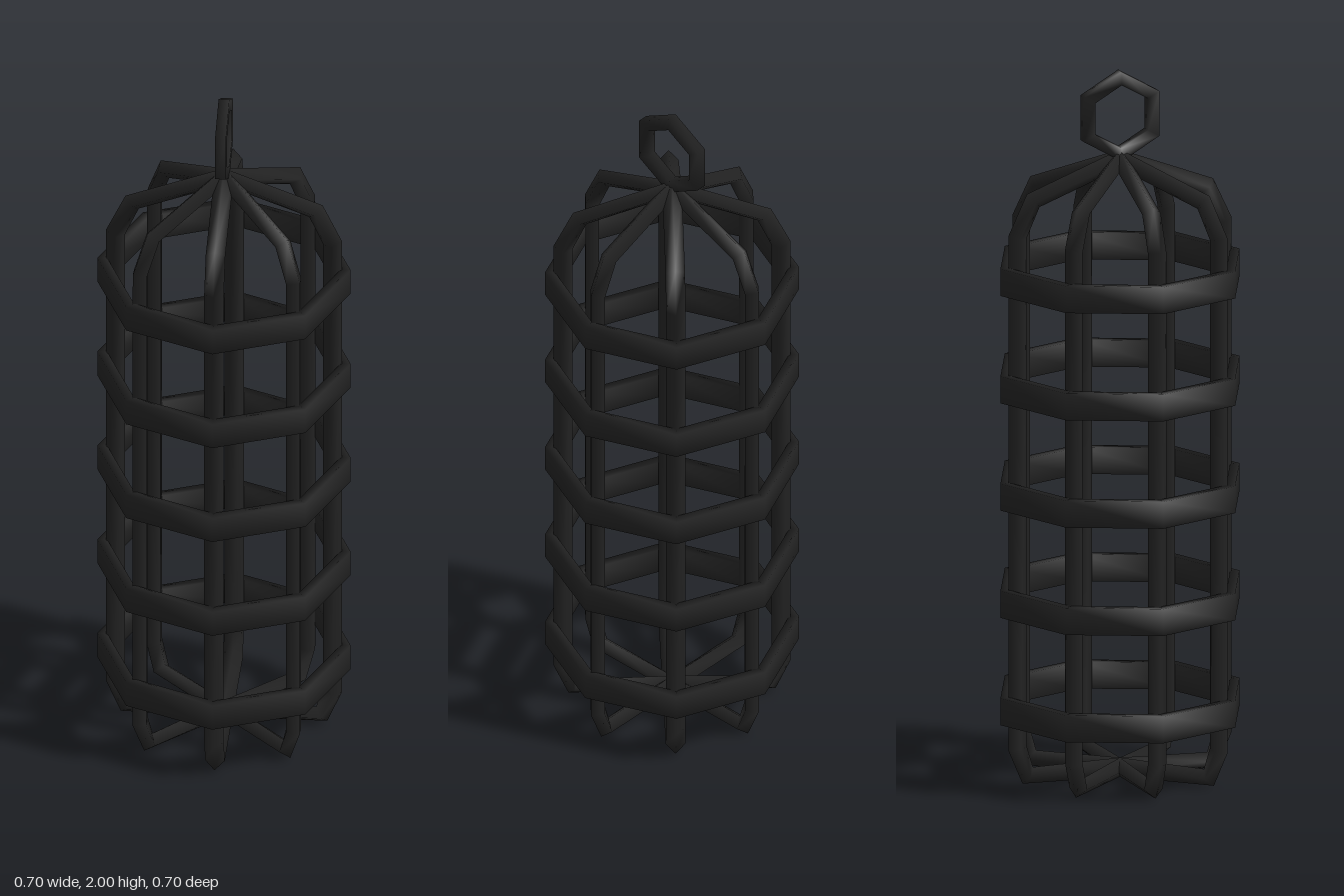
import * as THREE from 'three';

// Sweeps a closed profile [outward, sideways] round a closed anticlockwise path in the XY plane.
function sweepLoop(path, profile) {
  const n = path.length, m = profile.length;
  const positions = [], index = [];
  for (let i = 0; i < n; i++) {
    const p = path[i];
    const before = p.clone().sub(path[(i + n - 1) % n]).normalize();
    const after = path[(i + 1) % n].clone().sub(p).normalize();
    const t = before.add(after).normalize();
    for (const [out, side] of profile) {
      positions.push(p.x + t.y * out, p.y - t.x * out, side);
    }
    for (let j = 0; j < m; j++) {
      const k = (j + 1) % m, next = (i + 1) % n;
      const a = i * m + j, b = next * m + j, c = next * m + k, d = i * m + k;
      index.push(a, b, d, b, c, d);
    }
  }
  const geometry = new THREE.BufferGeometry();
  geometry.setAttribute('position', new THREE.Float32BufferAttribute(positions, 3));
  geometry.setIndex(index);
  geometry.computeVertexNormals();
  return geometry;
}

const polygon = (sides, radius, start = 0) => Array.from({ length: sides }, (_, i) => {
  const a = start + (i * 2 * Math.PI) / sides;
  return new THREE.Vector2(Math.cos(a) * radius, Math.sin(a) * radius);
});
const diamond = (r) => [[r, 0], [0, r], [-r, 0], [0, -r]];
const rectangle = (a, b) => [[a, -b], [a, b], [-a, b], [-a, -b]];

export function createModel() {
  const group = new THREE.Group();
  group.name = 'hangingCage';
  const iron = new THREE.MeshStandardMaterial({ color: 0x232323 });
  iron.name = 'blackIron';

  const add = (name, geometry) => {
    const mesh = new THREE.Mesh(geometry, iron);
    mesh.name = name;
    group.add(mesh);
    return mesh;
  };

  // Four closed bar loops crossing at the top and bottom give eight bars
  const half = [[0.27, 0.026], [0.3, 0.105], [0.3, 1.553], [0.254, 1.653]];
  const outline = [
    [0, 0.027], ...half, [0, 1.75],
    ...half.map(([x, y]) => [-x, y]).reverse(),
  ].map(([x, y]) => new THREE.Vector2(x, y));
  const barGeometry = sweepLoop(outline, diamond(0.027));
  for (let i = 0; i < 4; i++) {
    add(`barLoop${i + 1}`, barGeometry).rotation.y = (i * Math.PI) / 4;
  }

  // Five flat eight-sided hoops round the bars
  const hoopGeometry = sweepLoop(polygon(8, 0.336), rectangle(0.014, 0.038));
  for (let i = 0; i < 5; i++) {
    const hoop = add(`hoop${i + 1}`, hoopGeometry);
    hoop.rotation.x = Math.PI / 2;
    hoop.position.y = 0.213 + i * 0.304;
  }

  // Six-sided hanging ring
  const ring = add('hangingRing', sweepLoop(polygon(6, 0.108, Math.PI / 2), rectangle(0.019, 0.015)));
  ring.rotation.y = Math.PI / 2;
  ring.position.y = 1.873;

  return group;
}
